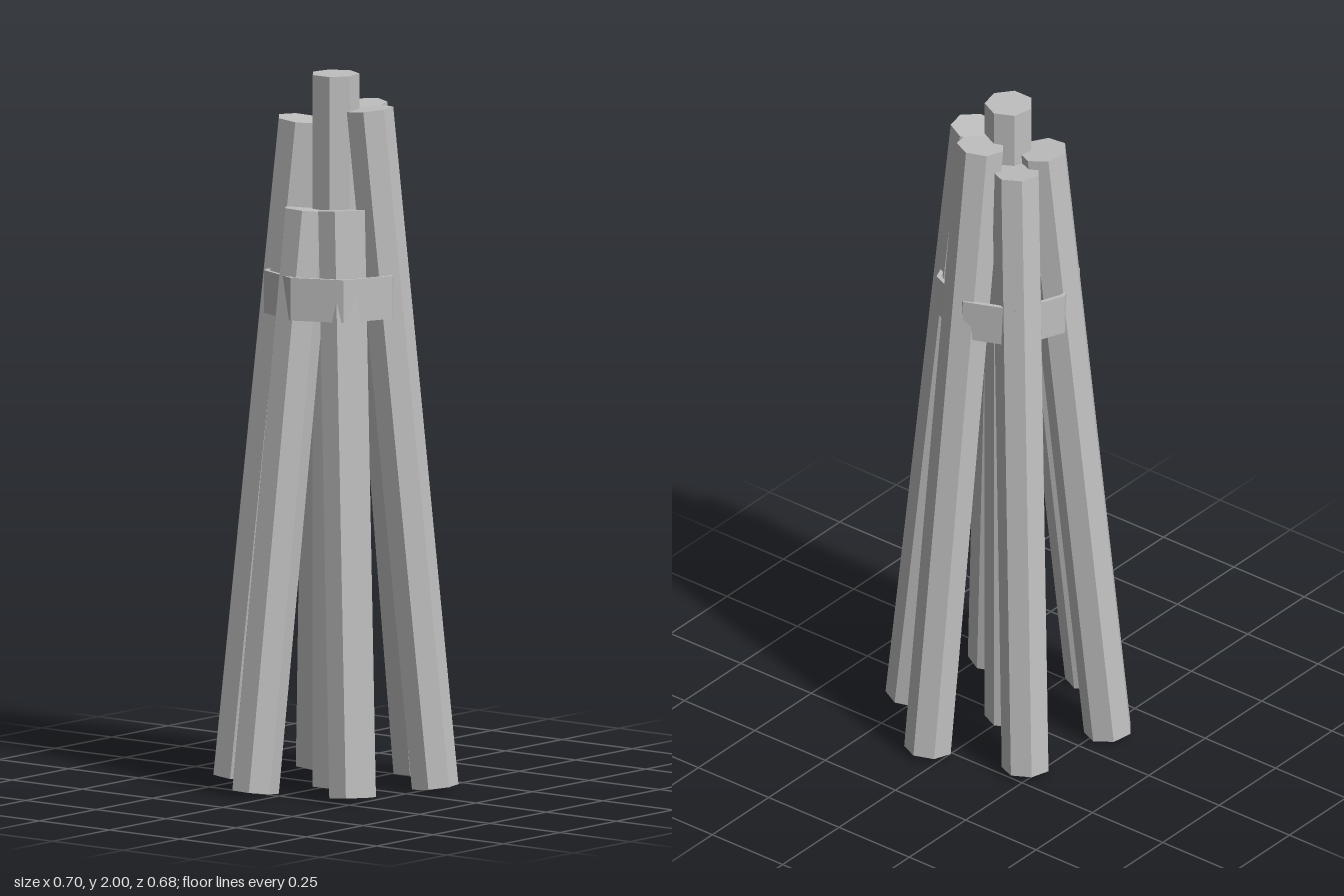
import * as THREE from 'three';

const RADIUS = 0.068;

// Seven-sided pile running between two end centres, cut square to its axis
function makePile(name, bottom, top, material) {
  const a = new THREE.Vector3(...bottom);
  const axis = new THREE.Vector3(...top).sub(a);
  const length = axis.length();
  const geometry = new THREE.CylinderGeometry(RADIUS, RADIUS, length, 7);
  geometry.rotateY(Math.PI / 2); // one corner points to +x
  geometry.translate(0, length / 2, 0);
  const pile = new THREE.Mesh(geometry, material);
  pile.name = name;
  pile.quaternion.setFromUnitVectors(new THREE.Vector3(0, 1, 0), axis.normalize());
  pile.position.copy(a);
  return pile;
}

function octagon(radius) {
  const points = [];
  for (let i = 0; i < 8; i++) {
    const t = (i * Math.PI) / 4;
    points.push(new THREE.Vector2(radius * Math.cos(t), radius * Math.sin(t)));
  }
  return points;
}

export function createModel() {
  const model = new THREE.Group();
  model.name = 'pileCluster';
  const grey = new THREE.MeshStandardMaterial({ color: 0xbfbfbf, flatShading: true });
  grey.name = 'grey';

  // Upright pile in the middle
  model.add(makePile('centrePile', [-0.004, 0, 0], [-0.004, 2, 0], grey));

  // Leaning piles: bottom x, z, then top x, y, z
  const leaning = [
    ['leftPile', 0.283, 0.056, 0.095, 1.905, 0.02],
    ['frontPile', 0.093, 0.275, 0.032, 1.905, 0.092],
    ['frontRightPile', -0.2, 0.217, -0.068, 1.63, 0.071],
    ['rightPile', -0.289, -0.057, -0.1, 1.628, -0.02],
    ['backPile', -0.099, -0.277, -0.036, 1.868, -0.095],
    ['backLeftPile', 0.193, -0.219, 0.06, 1.84, -0.078],
  ];
  for (const [name, bx, bz, tx, ty, tz] of leaning) {
    model.add(makePile(name, [bx, 0.012, bz], [tx, ty, tz], grey));
  }

  // Octagonal strap tying the piles together
  const ring = new THREE.Shape(octagon(0.2));
  ring.holes.push(new THREE.Path(octagon(0.188).reverse()));
  const strapGeometry = new THREE.ExtrudeGeometry(ring, { depth: 0.12, bevelEnabled: false });
  strapGeometry.rotateX(-Math.PI / 2);
  const strap = new THREE.Mesh(strapGeometry, grey);
  strap.name = 'strap';
  strap.position.y = 1.33;
  model.add(strap);

  return model;
}
